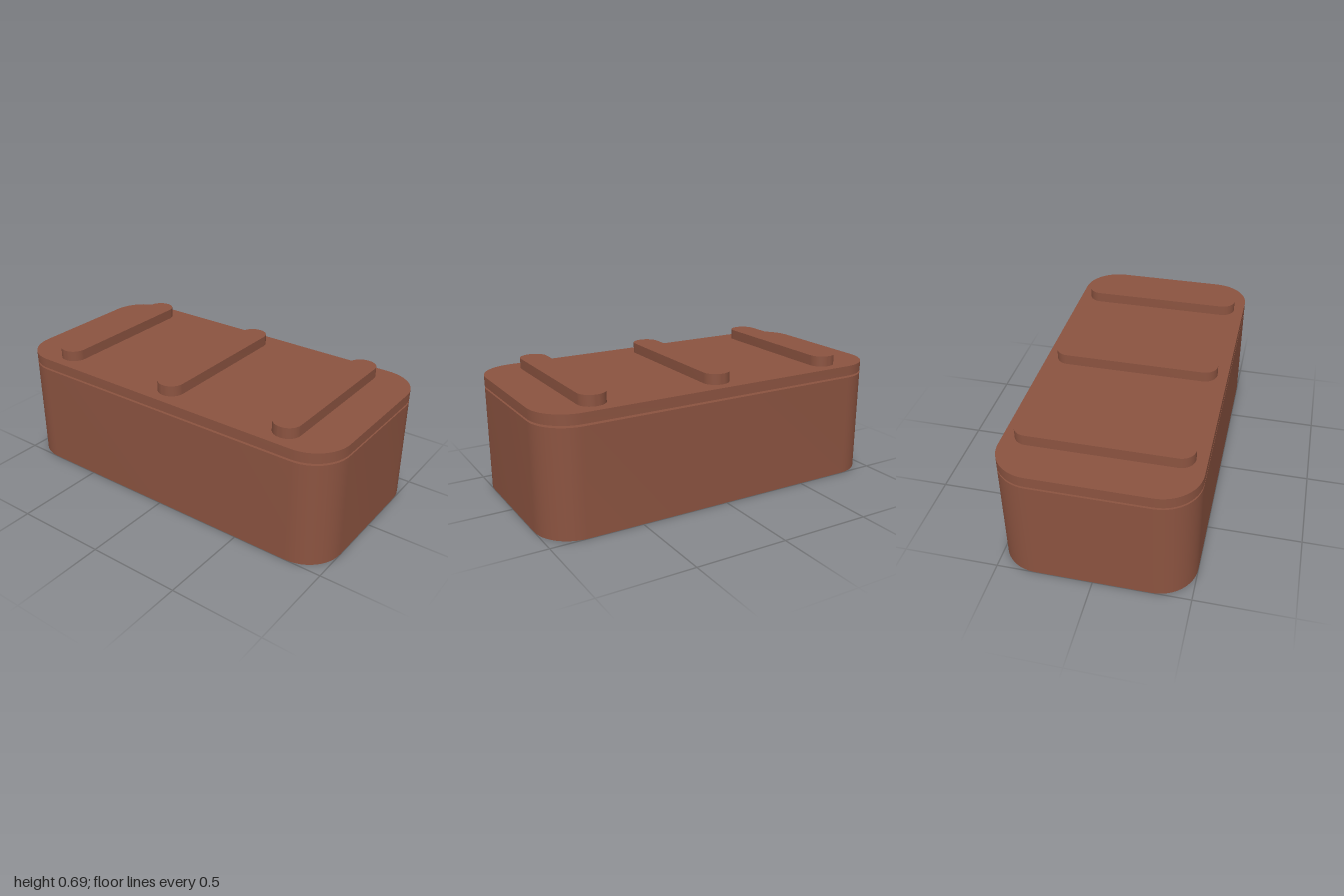
import * as THREE from 'three';
import { toCreasedNormals } from 'three/addons/utils/BufferGeometryUtils.js';

// Upright slab with rounded vertical edges, standing on y = 0
function roundedSlab(width, depth, radius, height, segments) {
  const x = width / 2 - radius, z = depth / 2 - radius;
  const shape = new THREE.Shape();
  shape.absarc(x, z, radius, 0, Math.PI / 2);
  shape.absarc(-x, z, radius, Math.PI / 2, Math.PI);
  shape.absarc(-x, -z, radius, Math.PI, Math.PI * 1.5);
  shape.absarc(x, -z, radius, Math.PI * 1.5, Math.PI * 2);
  shape.closePath();
  const geometry = new THREE.ExtrudeGeometry(shape, {
    depth: height, bevelEnabled: false, curveSegments: segments,
  });
  geometry.rotateX(-Math.PI / 2);
  return toCreasedNormals(geometry, Math.PI / 5);
}

export function createModel() {
  const model = new THREE.Group();
  model.name = 'lidded box';
  const brown = new THREE.MeshStandardMaterial({ color: 0x8b5340 });
  brown.name = 'brown';

  const add = (name, geometry, x, y) => {
    const mesh = new THREE.Mesh(geometry, brown);
    mesh.name = name;
    mesh.position.set(x, y, 0);
    model.add(mesh);
  };

  // Body, with a narrow gap below the lid
  add('body', roundedSlab(2, 1, 0.2, 0.572, 6), 0, 0);
  add('lid', roundedSlab(2, 1, 0.2, 0.055, 6), 0, 0.583);

  // Raised ribs across the lid
  const rib = roundedSlab(0.148, 0.888, 0.072, 0.057, 8);
  ['rightRib', 'middleRib', 'leftRib'].forEach((name, i) => add(name, rib, (i - 1) * 0.703, 0.638));

  return model;
}
